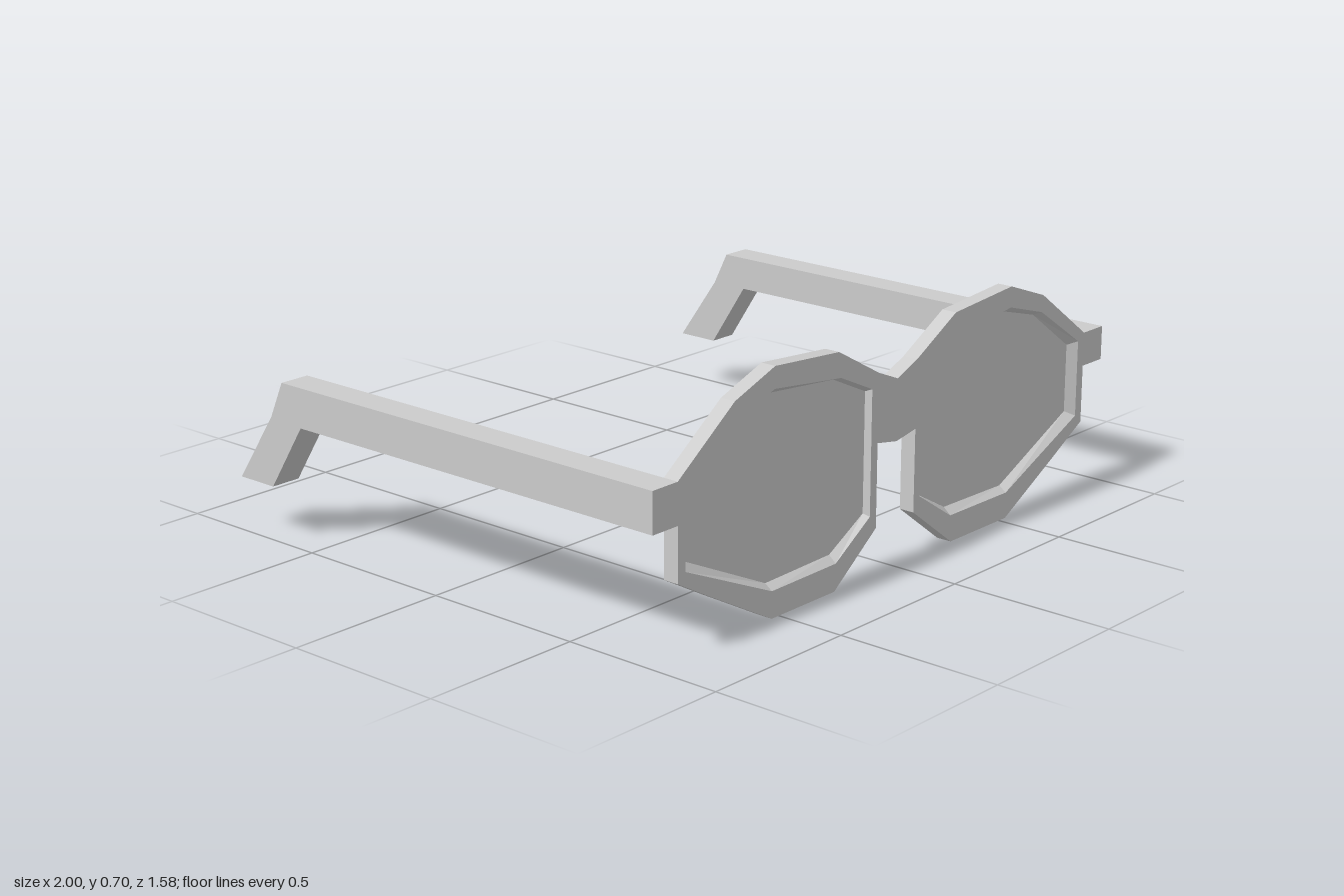
import * as THREE from 'three';

const material = new THREE.MeshStandardMaterial({ color: 0xcccccc, flatShading: true, side: THREE.DoubleSide });
const BACK = 0.743, FRONT = 0.79, MID = (BACK + FRONT) / 2;

// Half outline of the front, from bridge top around to bridge underside
const outline = [
  [0, 0.545], [0.085, 0.58], [0.26, 0.677], [0.525, 0.698], [0.685, 0.64], [0.905, 0.48],
  [0.905, 0.205], [0.77, 0.13], [0.53, 0], [0.265, 0], [0.085, 0.135], [0.085, 0.38], [0, 0.365],
];
// Lens opening at the front face, and the narrower opening behind the bevel
const opening = [
  [0.113, 0.54], [0.25, 0.603], [0.525, 0.636], [0.68, 0.59], [0.875, 0.46],
  [0.875, 0.23], [0.53, 0.078], [0.26, 0.08], [0.113, 0.175],
];
const seat = [
  [0.115, 0.53], [0.255, 0.595], [0.525, 0.62], [0.67, 0.58], [0.85, 0.45],
  [0.85, 0.245], [0.53, 0.095], [0.26, 0.1], [0.115, 0.18],
];

const mirror = (points) => points.map(([x, y]) => [-x, y]).reverse();
const vectors = (points) => points.map(([x, y]) => new THREE.Vector2(x, y));

function add(group, name, geometry) {
  const mesh = new THREE.Mesh(geometry, material);
  mesh.name = name;
  group.add(mesh);
}

// Front rim: pierced plate whose openings narrow from the front face to mid depth
function rimGeometry() {
  const shape = new THREE.Shape(vectors([...outline, ...mirror(outline.slice(1, -1))]));
  shape.holes.push(new THREE.Path(vectors(opening)), new THREE.Path(vectors(mirror(opening))));
  const geometry = new THREE.ExtrudeGeometry(shape, { depth: FRONT - BACK, steps: 2, bevelEnabled: false });
  geometry.translate(0, 0, BACK);
  const pos = geometry.attributes.position;
  for (let i = 0; i < pos.count; i++) {
    if (pos.getZ(i) > MID + 0.005) continue;
    const x = pos.getX(i), y = pos.getY(i);
    const k = opening.findIndex(([a, b]) => Math.hypot(Math.abs(x) - a, y - b) < 1e-4);
    if (k >= 0) pos.setXY(i, Math.sign(x) * seat[k][0], seat[k][1]);
  }
  geometry.computeVertexNormals();
  return geometry;
}

// Side arm: profile in (-z, y), extruded across x
function templeGeometry(x, drop) {
  const profile = [
    [-FRONT, 0.48], [0.6, 0.48], [0.65, 0.378 - drop / 2], [0.79, 0.178 - drop],
    [0.655, 0.178 - drop], [0.527, 0.378 - drop], [-FRONT, 0.378 - drop],
  ];
  const geometry = new THREE.ExtrudeGeometry(new THREE.Shape(vectors(profile)), { depth: 0.095, bevelEnabled: false });
  geometry.rotateY(Math.PI / 2);
  geometry.translate(x, 0, 0);
  return geometry;
}

export function createModel() {
  const group = new THREE.Group();
  group.name = 'glasses';
  add(group, 'frontRim', rimGeometry());

  for (const [name, points] of [['leftLens', seat], ['rightLens', mirror(seat)]]) {
    const lens = new THREE.ShapeGeometry(new THREE.Shape(vectors(points)));
    lens.translate(0, 0, MID);
    add(group, name, lens);
  }

  // The right arm is slightly deeper than the left
  add(group, 'leftTemple', templeGeometry(0.905, 0));
  add(group, 'rightTemple', templeGeometry(-1, 0.016));
  return group;
}
